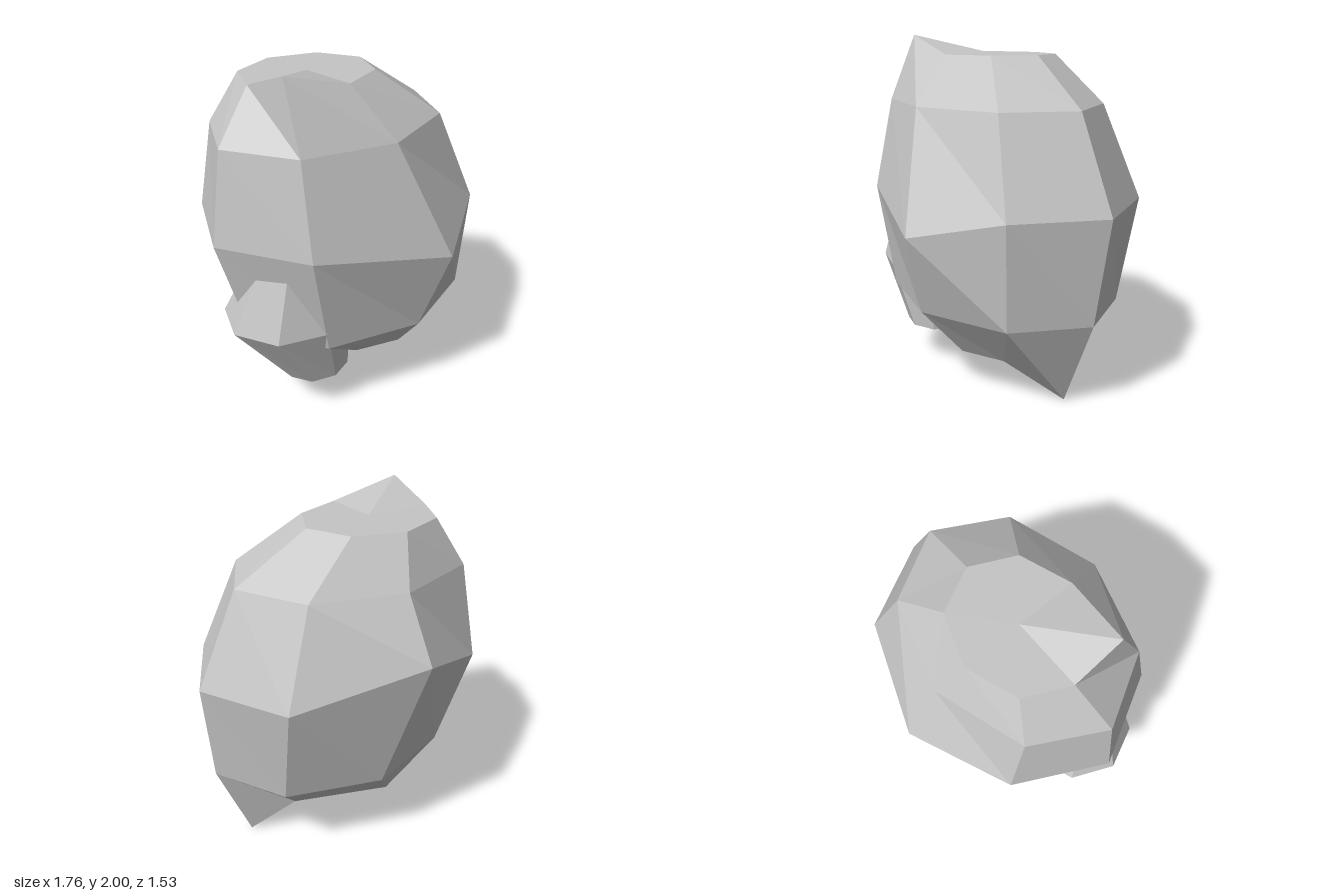
import * as THREE from 'three';

const SIDES = 8;

// Stacked eight-sided rings closed by a fan at each end.
// rings: [y, centreX, centreZ, radiusX, radiusZ], top to bottom; index 0 is +x, 2 is +z.
// moved: 'ring,index' -> displaced corner; drop: position of the bottom centre.
function facetedStone(rings, moved = {}, drop = null) {
  const pts = [];
  rings.forEach(([y, cx, cz, rx, rz], r) => {
    for (let i = 0; i < SIDES; i++) {
      const a = (i / SIDES) * Math.PI * 2;
      pts.push(moved[`${r},${i}`] || [cx + rx * Math.cos(a), y, cz + rz * Math.sin(a)]);
    }
  });
  const first = rings[0], last = rings[rings.length - 1];
  const topCentre = pts.push([first[1], first[0], first[2]]) - 1;
  const bottomCentre = pts.push(drop || [last[1], last[0], last[2]]) - 1;

  const index = [];
  const id = (r, i) => r * SIDES + (i % SIDES);
  for (let i = 0; i < SIDES; i++) {
    index.push(topCentre, id(0, i + 1), id(0, i));
    for (let r = 0; r < rings.length - 1; r++) {
      index.push(id(r, i + 1), id(r + 1, i + 1), id(r + 1, i));
      index.push(id(r, i + 1), id(r + 1, i), id(r, i));
    }
    index.push(bottomCentre, id(rings.length - 1, i), id(rings.length - 1, i + 1));
  }
  const indexed = new THREE.BufferGeometry();
  indexed.setAttribute('position', new THREE.Float32BufferAttribute(pts.flat(), 3));
  indexed.setIndex(index);
  const geo = indexed.toNonIndexed();
  geo.computeVertexNormals();
  return geo;
}

export function createModel() {
  const group = new THREE.Group();
  group.name = 'rock';
  const stone = new THREE.MeshStandardMaterial({ color: 0xc5c5c5, flatShading: true });
  stone.name = 'stone grey';

  const add = (name, geometry) => {
    const mesh = new THREE.Mesh(geometry, stone);
    mesh.name = name;
    group.add(mesh);
  };

  // Leaning boulder with a few corners pulled out
  add('mainBoulder', facetedStone(
    [
      [1.895, -0.17, -0.07, 0.40, 0.34],
      [1.625, -0.085, -0.01, 0.725, 0.545],
      [1.095, 0, -0.01, 0.882, 0.70],
      [0.50, 0.05, 0.035, 0.76, 0.585],
      [0.235, 0.13, 0.08, 0.37, 0.32],
    ],
    {
      '0,3': [-0.57, 2.0, 0.22],
      '2,2': [0.135, 0.97, 0.765],
      '2,6': [-0.085, 1.28, -0.765],
      '4,0': [0.60, 0, 0.04],
      '4,5': [-0.25, 0.11, -0.21],
    },
    [0.13, 0.12, 0.08],
  ));

  // Small stone sunk into the boulder's lower side
  add('smallStone', facetedStone([
    [0.98, -0.49, 0.17, 0.23, 0.21],
    [0.605, -0.50, 0.115, 0.375, 0.345],
    [0.23, -0.385, 0.23, 0.195, 0.16],
  ]));

  return group;
}
